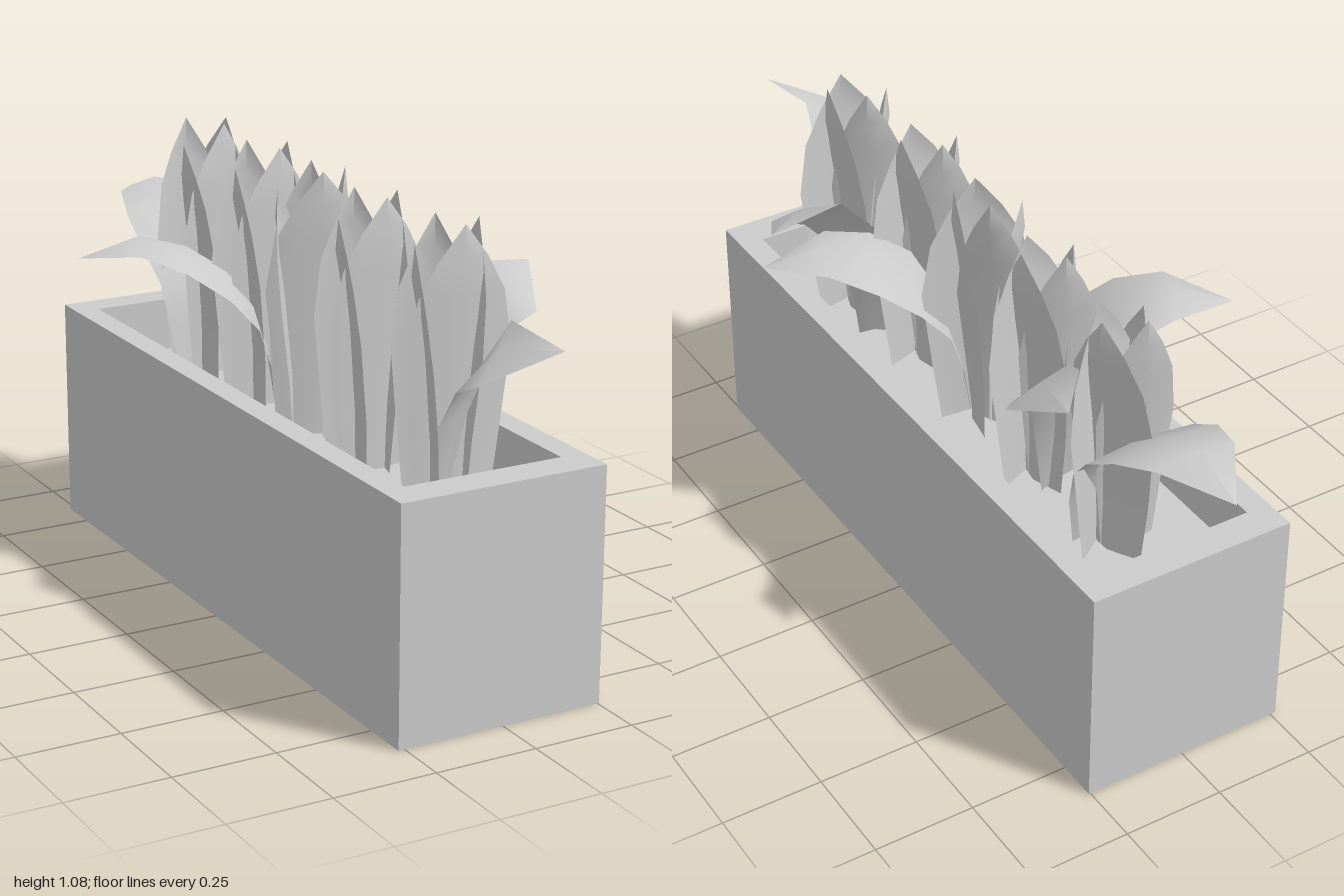
import * as THREE from 'three';

const planterMaterial = new THREE.MeshStandardMaterial({ color: 0xcccccc, side: THREE.DoubleSide });
const leafMaterial = new THREE.MeshStandardMaterial({ color: 0xcccccc, side: THREE.DoubleSide });
const SOIL = 0.43;

// Planter: rectangular rings joined from the open foot, over the rim, down to the soil
function planterGeometry() {
  const outer = [-0.265, 0.254, -0.85, 0.868];
  const inner = [-0.205, 0.193, -0.77, 0.78];
  const ring = ([x0, x1, z0, z1], y) => [[x0, y, z1], [x1, y, z1], [x1, y, z0], [x0, y, z0]];
  const rings = [ring(outer, 0), ring(outer, 0.565), ring(inner, 0.565), ring(inner, SOIL)];
  const pos = [];
  const quad = (a, b, c, d) => pos.push(...a, ...b, ...c, ...a, ...c, ...d);
  for (let r = 0; r < 3; r++) {
    for (let i = 0; i < 4; i++) {
      const j = (i + 1) % 4;
      quad(rings[r][i], rings[r][j], rings[r + 1][j], rings[r + 1][i]);
    }
  }
  quad(...rings[3]);
  const g = new THREE.BufferGeometry();
  g.setAttribute('position', new THREE.Float32BufferAttribute(pos, 3));
  g.computeVertexNormals();
  return g;
}

// Leaf blade between a left and a right edge, its midrib pushed out by bulge [y, z]
function bladeGeometry(left, right, bulge) {
  const pos = [], index = [];
  const last = left.length - 1;
  left.forEach((l, i) => {
    const r = right[i];
    const k = i === last ? 0 : 1;
    const mid = l.map((v, c) => (v + r[c]) / 2);
    pos.push(...l, mid[0], mid[1] + bulge[0] * k, mid[2] + bulge[1] * k, ...r);
    if (i < last) {
      for (let c = 0; c < 2; c++) {
        const a = i * 3 + c;
        index.push(a, a + 1, a + 3, a + 1, a + 4, a + 3);
      }
    }
  });
  const g = new THREE.BufferGeometry();
  g.setAttribute('position', new THREE.Float32BufferAttribute(pos, 3));
  g.setIndex(index);
  g.computeVertexNormals();
  return g;
}

// Symmetric leaf from rows of [reach, height, half width]
function symmetricLeaf(rows, bulge) {
  return bladeGeometry(
    rows.map(([z, y, w]) => [w, y, z]),
    rows.map(([z, y, w]) => [-w, y, z]),
    bulge
  );
}

// Upright pointed leaf, leaning slightly outward
function uprightLeaf(width, height, lean) {
  const shape = [[0, 0.34], [0.25, 0.42], [0.55, 0.5], [0.75, 0.41], [0.88, 0.23], [1, 0]];
  const rows = shape.map(([t, w]) => [lean * t * t, SOIL + (height - SOIL) * t, width * w]);
  return symmetricLeaf(rows, [0, 0.02]);
}

// Broad leaf arching far out
const archingLeaf = () => symmetricLeaf([
  [0, SOIL, 0.09], [0.02, 0.57, 0.115], [0.05, 0.67, 0.125], [0.12, 0.75, 0.14],
  [0.22, 0.815, 0.135], [0.33, 0.85, 0.1], [0.48, 0.823, 0]
], [0.025, 0.01]);

// Leaf rolled sideways, with one edge higher than the other
const twistedLeaf = () => bladeGeometry(
  [[-0.02, SOIL, 0.01], [0.02, 0.66, 0.06], [0.06, 0.81, 0.11], [0.04, 0.905, 0.2], [0.05, 0.885, 0.39]],
  [[-0.07, SOIL, 0.1], [-0.09, 0.66, 0.12], [-0.11, 0.77, 0.22], [-0.11, 0.81, 0.31], [0.05, 0.885, 0.39]],
  [0.015, 0.015]
);

function addLeaf(parent, name, geometry, x, z, turn) {
  const leaf = new THREE.Mesh(geometry, leafMaterial);
  leaf.name = name;
  leaf.position.set(x, 0, z);
  leaf.rotation.y = turn;
  parent.add(leaf);
}

export function createModel() {
  const model = new THREE.Group();
  model.name = 'planterWithLeaves';

  const planter = new THREE.Mesh(planterGeometry(), planterMaterial);
  planter.name = 'planter';
  model.add(planter);

  // Tufts of upright leaves: x, z, turn
  const tufts = [
    [0.01, -0.55, 0.4], [0.01, -0.25, 0.2], [0, 0.01, -0.3], [-0.01, 0.3, 0.1], [0.02, 0.59, 0]
  ];
  // Crossing leaves of one tuft: facing, width, height, lean, outward and sideways offset
  const uprights = [
    [0, 0.27, 1.075, 0.03, 0.005, 0.015], [1.45, 0.24, 1.075, 0.06, 0.015, 0.02],
    [2.6, 0.19, 1.075, 0.07, 0.01, 0.035], [4.2, 0.2, 1.03, 0.06, 0.02, 0.03]
  ];
  tufts.forEach(([x, z, turn]) => {
    const tuft = new THREE.Group();
    tuft.name = 'leafTuft';
    tuft.position.set(x, 0, z);
    tuft.rotation.y = turn;
    uprights.forEach(([a, width, height, lean, out, side]) => {
      const s = Math.sin(a), c = Math.cos(a);
      addLeaf(tuft, 'uprightLeaf', uprightLeaf(width, height, lean), out * s + side * c, out * c - side * s, a);
    });
    model.add(tuft);
  });

  // Spreading leaves: x, z, turn
  [[0, -0.515, Math.PI], [0, -0.17, Math.PI + 1.13], [-0.01, 0.11, 1.13]].forEach(([x, z, turn]) =>
    addLeaf(model, 'archingLeaf', archingLeaf(), x, z, turn));
  [[0, 0.605, 0], [-0.005, 0.39, Math.PI / 2], [-0.07, -0.3, Math.PI * 0.75]].forEach(([x, z, turn]) =>
    addLeaf(model, 'twistedLeaf', twistedLeaf(), x, z, turn));

  return model;
}
